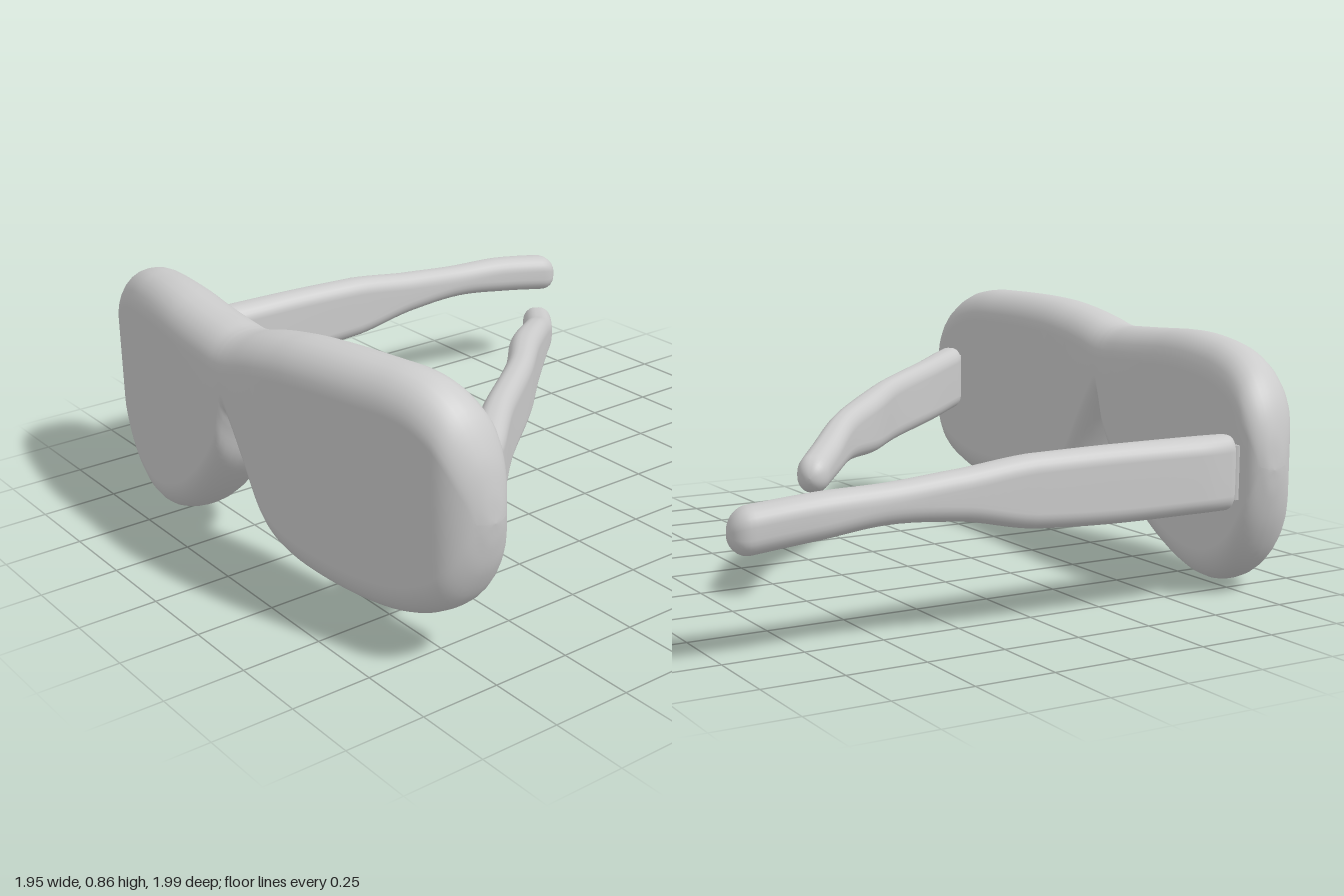
import * as THREE from 'three';

const material = new THREE.MeshStandardMaterial({ color: 0xcccccc });

// Skins a list of equally sized closed rings; collapsed end rings close the ends.
function loft(rings) {
  const n = rings[0].length;
  const index = [];
  for (let i = 0; i < rings.length - 1; i++) {
    for (let j = 0; j < n; j++) {
      const k = (j + 1) % n;
      const a = i * n + j, b = i * n + k, c = a + n, d = b + n;
      index.push(a, b, d, a, d, c);
    }
  }
  const geometry = new THREE.BufferGeometry().setFromPoints(rings.flat());
  geometry.setIndex(index);
  geometry.computeVertexNormals();
  return geometry;
}

// Rounded rectangle with elliptical corners, as [side, up] pairs.
function section(halfW, halfH, rw, rh) {
  const points = [];
  for (let q = 0; q < 4; q++) {
    const sx = q === 0 || q === 3 ? 1 : -1;
    const sy = q < 2 ? 1 : -1;
    for (let i = 0; i <= 6; i++) {
      const a = (q + i / 6) * Math.PI / 2;
      points.push([sx * (halfW - rw) + rw * Math.cos(a), sy * (halfH - rh) + rh * Math.sin(a)]);
    }
  }
  return points;
}

// Quarter-circle falloff over the last stretch r before an end.
const roundOff = (e, r) => Math.sqrt(Math.max(0, 1 - (1 - Math.min(1, e / r)) ** 2));

// Front: [x, bottom, top]
const outline = [
  [-0.977, 0.42, 0.42], [-0.965, 0.33, 0.53], [-0.93, 0.22, 0.63], [-0.87, 0.12, 0.705],
  [-0.8, 0.06, 0.748], [-0.7, 0.015, 0.777], [-0.6, 0.002, 0.79], [-0.5, 0.015, 0.797],
  [-0.4, 0.05, 0.797], [-0.3, 0.1, 0.791], [-0.2, 0.175, 0.785], [-0.1, 0.28, 0.78],
  [-0.05, 0.355, 0.777], [-0.02, 0.45, 0.778], [0, 0.495, 0.78], [0.035, 0.455, 0.787],
  [0.1, 0.35, 0.805], [0.18, 0.21, 0.823], [0.23, 0.17, 0.832], [0.3, 0.145, 0.843],
  [0.45, 0.125, 0.855], [0.6, 0.12, 0.859], [0.72, 0.132, 0.857], [0.8, 0.158, 0.837],
  [0.88, 0.21, 0.78], [0.94, 0.31, 0.67], [0.965, 0.4, 0.57], [0.975, 0.48, 0.48],
];

function createFront() {
  const curve = new THREE.CatmullRomCurve3(outline.map(p => new THREE.Vector3(...p)), false, 'centripetal');
  const rings = curve.getPoints(135).map(({ x, y: bottom, z: top }) => {
    const end = Math.min(x + 0.977, 0.975 - x);
    const depth = (0.118 - 0.02 * x * x) * roundOff(end, 0.1);
    const halfH = Math.max(0, (top - bottom) / 2);
    const zMid = 0.872 - 0.145 * x * x;
    return section(depth, halfH, depth * 0.92, Math.min(0.11, halfH))
      .map(([s, u]) => new THREE.Vector3(x, (top + bottom) / 2 + u, zMid - s));
  });
  const mesh = new THREE.Mesh(loft(rings), material);
  mesh.name = 'frontFrame';
  return mesh;
}

// Arm stations: [x, z, half width, bottom, top]
const leftStations = [
  [0.815, 0.655, 0.045, 0.40, 0.635], [0.75, 0.585, 0.052, 0.40, 0.63], [0.56, 0.39, 0.047, 0.395, 0.62],
  [0.30, 0.09, 0.044, 0.385, 0.598], [0.11, -0.095, 0.05, 0.383, 0.58], [-0.04, -0.265, 0.046, 0.39, 0.545],
  [-0.18, -0.40, 0.05, 0.365, 0.49], [-0.34, -0.53, 0.05, 0.35, 0.46],
];
const rightStations = [
  [-0.87, 0.655, 0.045, 0.29, 0.525], [-0.865, 0.5, 0.062, 0.29, 0.525], [-0.86, 0.2, 0.056, 0.29, 0.525],
  [-0.852, -0.08, 0.053, 0.303, 0.52], [-0.845, -0.3, 0.051, 0.345, 0.495], [-0.84, -0.55, 0.05, 0.36, 0.475],
  [-0.832, -0.75, 0.056, 0.338, 0.468], [-0.80, -1.0, 0.06, 0.305, 0.44],
];

function createArm(name, stations) {
  const path = new THREE.CatmullRomCurve3(stations.map(([x, z, , b, t]) => new THREE.Vector3(x, (b + t) / 2, z)));
  const size = new THREE.CatmullRomCurve3(stations.map(([, , w, b, t]) => new THREE.Vector3(w, (t - b) / 2, 0)));
  const start = path.getPoint(0), tip = path.getPoint(1);
  const rings = [];
  const steps = 64;
  for (let k = 0; k <= steps; k++) {
    const u = (1 - Math.cos(Math.PI * k / steps)) / 2;
    const p = path.getPoint(u), s = size.getPoint(u), t = path.getTangent(u);
    const side = new THREE.Vector3(t.z, 0, -t.x).normalize();
    const a = roundOff(p.distanceTo(start), 0.035);
    const b = roundOff(p.distanceTo(tip), 0.06);
    const w = s.x * a * b;
    const h = (s.y - 0.04 * (1 - a)) * (k === 0 ? 0 : 1) * b;
    rings.push(section(w, h, w * 0.85, Math.min(0.05 * b, h))
      .map(([i, j]) => p.clone().addScaledVector(side, i).add(new THREE.Vector3(0, j, 0))));
  }
  const arm = new THREE.Group();
  arm.name = name;
  const bar = new THREE.Mesh(loft(rings), material);
  bar.name = name + 'Bar';
  // Narrow neck joining the arm to the frame
  const hinge = new THREE.Mesh(new THREE.CylinderGeometry(0.036, 0.036, 0.17, 16), material);
  hinge.name = name + 'Hinge';
  hinge.position.set(start.x, start.y, 0.662);
  arm.add(bar, hinge);
  return arm;
}

export function createModel() {
  const glasses = new THREE.Group();
  glasses.name = 'glasses';
  glasses.add(createFront(), createArm('leftArm', leftStations), createArm('rightArm', rightStations));
  return glasses;
}
